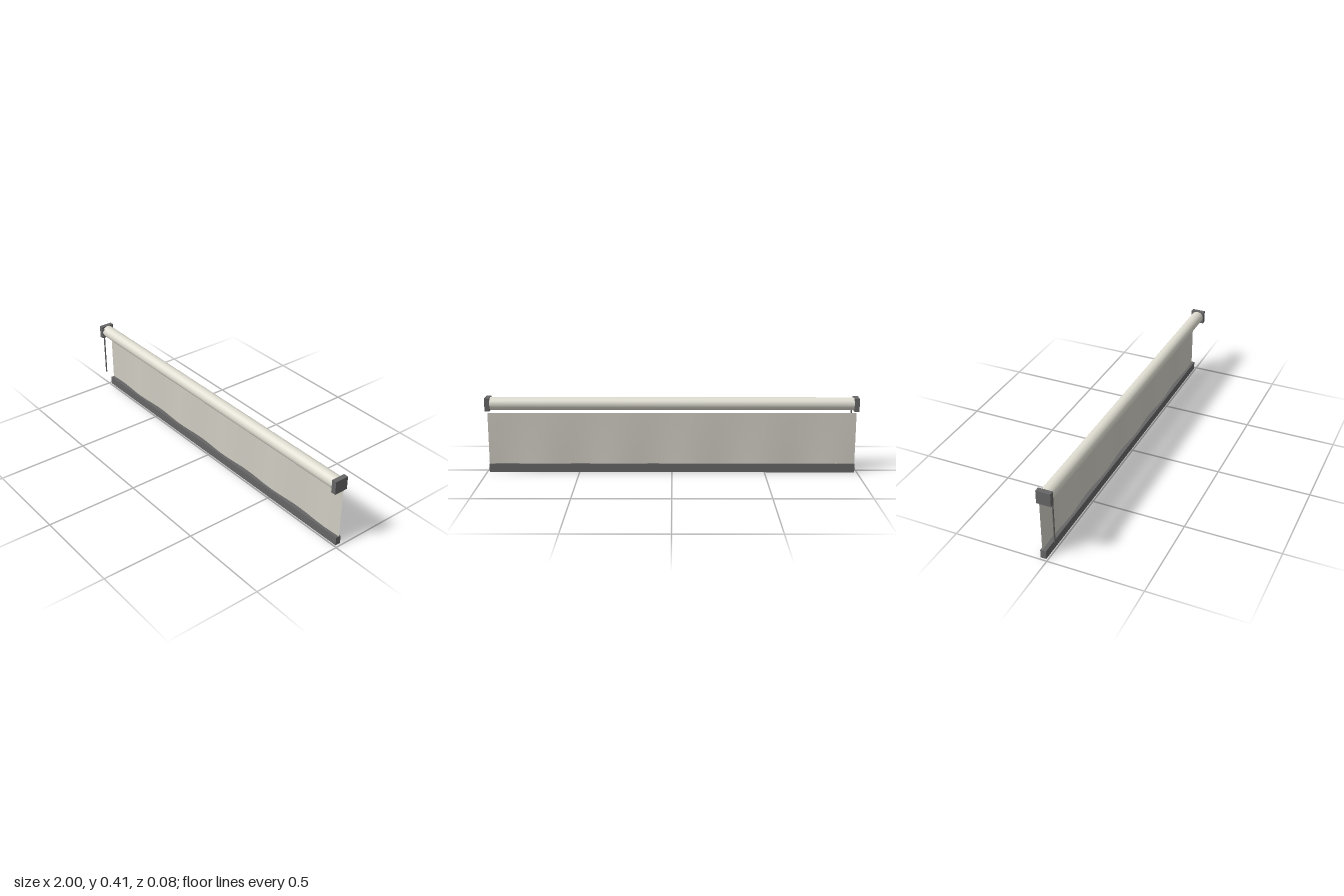
import * as THREE from 'three';

export function createModel() {
  const model = new THREE.Group();
  const cream = new THREE.MeshStandardMaterial({ color: 0xdedcd0 });
  const cloth = new THREE.MeshStandardMaterial({ color: 0xcfccc2, side: THREE.DoubleSide });
  const dark = new THREE.MeshStandardMaterial({ color: 0x666666 });

  const add = (name, geometry, material, x, y, z) => {
    const mesh = new THREE.Mesh(geometry, material);
    mesh.name = name;
    mesh.position.set(x, y, z);
    model.add(mesh);
    return mesh;
  };

  // Roller tube between the two end brackets
  const roller = add('roller', new THREE.CylinderGeometry(0.0345, 0.0345, 1.95, 32), cream, 0, 0.371, 0.002);
  roller.rotation.z = Math.PI / 2;
  for (const side of [-1, 1]) {
    add(side > 0 ? 'leftBracket' : 'rightBracket',
      new THREE.BoxGeometry(0.026, 0.071, 0.076), dark, side * 0.987, 0.3705, 0.002);
  }

  // Hanging fabric: flat at the top, with soft waves that grow towards the hem
  const top = 0.326, bottom = 0.01, halfWidth = 0.987;
  const fabric = new THREE.PlaneGeometry(halfWidth * 2, top - bottom, 100, 12);
  const pos = fabric.attributes.position;
  for (let i = 0; i < pos.count; i++) {
    const drop = 0.5 - pos.getY(i) / (top - bottom);
    pos.setZ(i, (0.0007 + 0.004 * drop) * Math.sin(pos.getX(i) * 15.9));
  }
  fabric.computeVertexNormals();
  add('fabric', fabric, cloth, 0, (top + bottom) / 2, -0.028);

  // Weighted bar along the hem
  add('hemBar', new THREE.BoxGeometry(halfWidth * 2, 0.046, 0.03), dark, 0, 0.023, -0.0245);

  // Pull cord at the model's right end
  add('pullCord', new THREE.CylinderGeometry(0.004, 0.004, 0.288, 12), dark, -0.97, 0.251, 0.032);

  return model;
}
